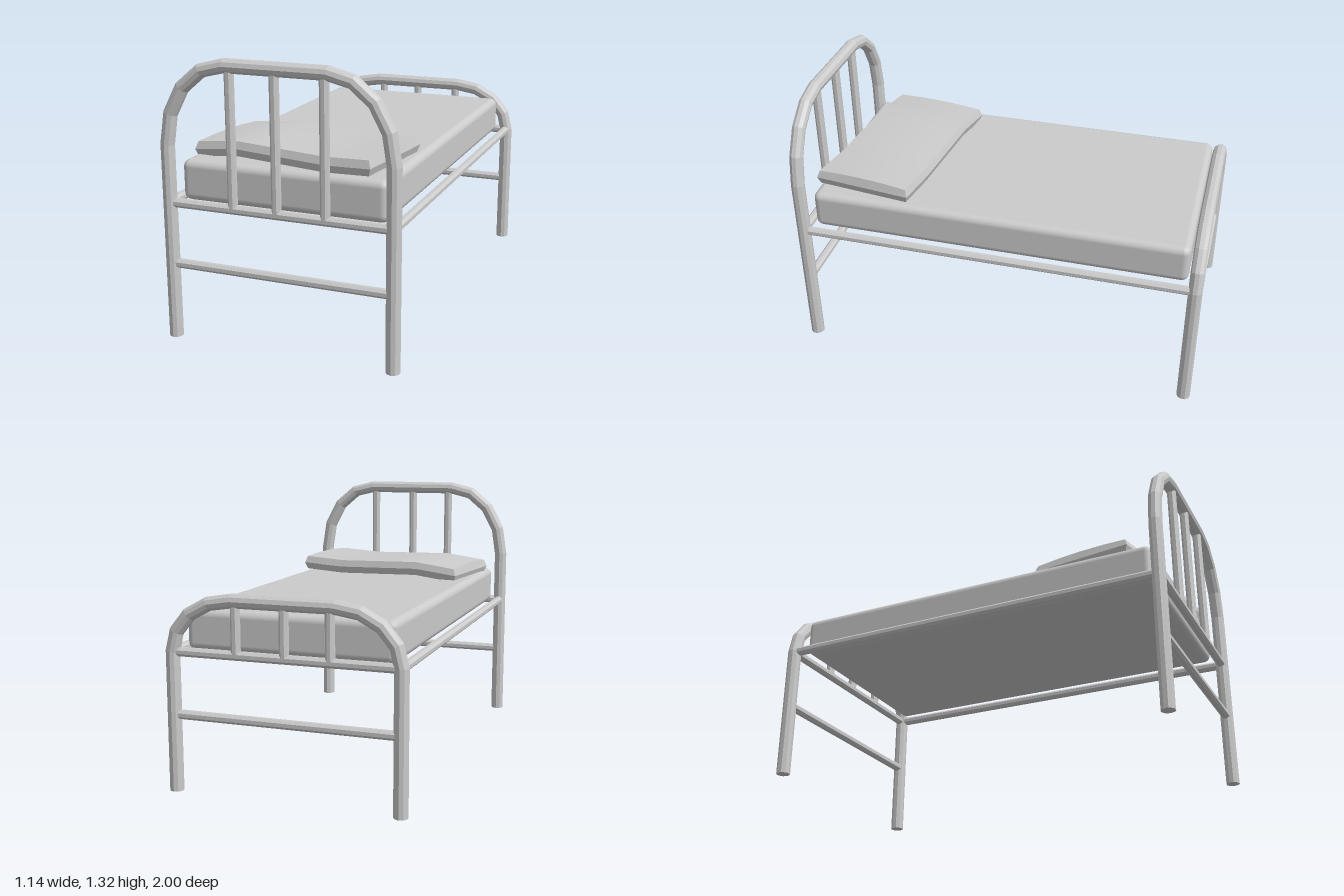
import * as THREE from 'three';
import { RoundedBoxGeometry } from 'three/addons/geometries/RoundedBoxGeometry.js';
import { toCreasedNormals } from 'three/addons/utils/BufferGeometryUtils.js';

const metal = new THREE.MeshStandardMaterial({ color: 0xcccccc, flatShading: true });
const soft = new THREE.MeshStandardMaterial({ color: 0xcccccc });

const POST_X = 0.537, END_Z = 0.967, POST_R = 0.033, BAR_R = 0.022, RAIL_Y = 0.65;

// Straight-segment path whose rings land on the corners, mitred between neighbours
class CornerPath extends THREE.Curve {
  constructor(points) { super(); this.points = points; }
  getPointAt(t) { return this.points[Math.round(t * (this.points.length - 1))].clone(); }
  getPoint(t) { return this.getPointAt(t); }
  getTangentAt(t) {
    const p = this.points, i = Math.round(t * (p.length - 1)), dir = new THREE.Vector3();
    if (i > 0) dir.add(p[i].clone().sub(p[i - 1]).normalize());
    if (i < p.length - 1) dir.add(p[i + 1].clone().sub(p[i]).normalize());
    return dir.normalize();
  }
}

function addMesh(parent, name, geometry, material) {
  const mesh = new THREE.Mesh(geometry, material);
  mesh.name = name;
  parent.add(mesh);
  return mesh;
}

// Round bar along one axis
function addBar(parent, name, axis, length, x, y, z) {
  const geometry = new THREE.CylinderGeometry(BAR_R, BAR_R, length, 8);
  geometry.rotateY(Math.PI / 8);
  if (axis === 'x') geometry.rotateZ(Math.PI / 2);
  if (axis === 'z') geometry.rotateX(Math.PI / 2);
  addMesh(parent, name, geometry, metal).position.set(x, y, z);
}

// Bent tube hoop with legs, two cross bars and three spindles
function bedEnd(name, z, springY, topY) {
  const end = new THREE.Group();
  end.name = name;
  const flatX = 0.24, steps = 4, half = [new THREE.Vector3(POST_X, 0, 0)];
  for (let i = 0; i <= steps; i++) {
    const a = (i / steps) * Math.PI / 2;
    half.push(new THREE.Vector3(flatX + (POST_X - flatX) * Math.cos(a), springY + (topY - springY) * Math.sin(a), 0));
  }
  const mirrored = half.map(p => new THREE.Vector3(-p.x, p.y, 0)).reverse();
  const points = [...half, ...mirrored];
  addMesh(end, name + 'Hoop', new THREE.TubeGeometry(new CornerPath(points), points.length - 1, POST_R, 10), metal);

  for (const side of [-1, 1]) {
    const cap = new THREE.CircleGeometry(POST_R, 10);
    cap.rotateX(Math.PI / 2);
    addMesh(end, 'footCap', cap, metal).position.x = side * POST_X;
  }
  for (const y of [RAIL_Y, 0.36]) addBar(end, 'crossBar', 'x', 2 * POST_X - 0.04, 0, y, 0);
  for (const x of [-0.218, -0.005, 0.225]) {
    addBar(end, 'spindle', 'y', topY - RAIL_Y, x, (topY + RAIL_Y) / 2, 0);
  }
  end.position.z = z;
  return end;
}

// Thin slab with bevelled rim and a gentle sag along its length
function pillowGeometry() {
  const w = 0.91, h = 0.07, d = 0.49;
  const geometry = new THREE.BoxGeometry(w, h, d, 8, 2, 4);
  const p = geometry.attributes.position;
  const keys = [[-0.455, -0.012], [-0.23, 0.014], [0.23, 0], [0.455, 0.012]];
  const wave = x => {
    let i = 0;
    while (i < 2 && x > keys[i + 1][0]) i++;
    const t = (x - keys[i][0]) / (keys[i + 1][0] - keys[i][0]);
    return THREE.MathUtils.lerp(keys[i][1], keys[i + 1][1], t);
  };
  for (let i = 0; i < p.count; i++) {
    const x = p.getX(i), y = p.getY(i), z = p.getZ(i);
    const outer = Math.abs(y) > 0.01 ? 0.012 : 0;
    const crown = y > 0.01 ? 0.01 * (1 - (2 * z / d) ** 2) : 0;
    p.setXYZ(i, x * (1 - 2 * outer / w), y + wave(x) + crown, z * (1 - 2 * outer / d));
  }
  return toCreasedNormals(geometry, 0.5);
}

export function createModel() {
  const bed = new THREE.Group();
  bed.name = 'bed';

  bed.add(bedEnd('headboard', END_Z, 0.92, 1.292));
  bed.add(bedEnd('footboard', -END_Z, 0.65, 0.893));

  for (const side of [-1, 1]) addBar(bed, 'sideRail', 'z', 2 * END_Z, side * POST_X, RAIL_Y, 0);

  const mattress = new RoundedBoxGeometry(0.99, 0.19, 1.85, 3, 0.035);
  addMesh(bed, 'mattress', mattress, soft).position.set(-0.004, 0.745, 0);

  const pillow = addMesh(bed, 'pillow', pillowGeometry(), soft);
  pillow.position.set(-0.008, 0.876, 0.625);
  pillow.rotation.y = -0.125;

  return bed;
}
